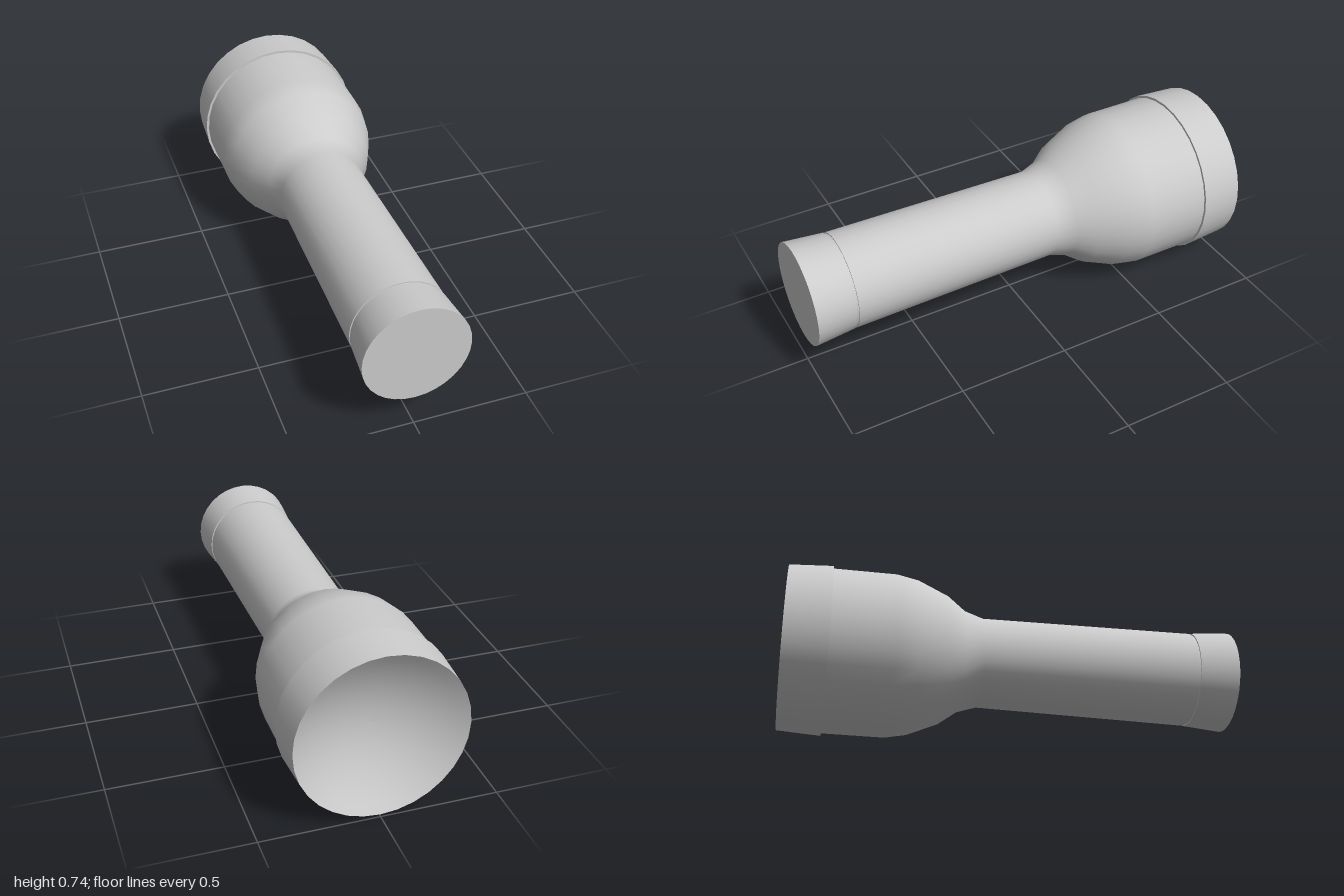
import * as THREE from 'three';

const SEGMENTS = 32;
const AXIS_Y = 0.371;

export function createModel() {
  const torch = new THREE.Group();
  torch.name = 'flashlight';
  const material = new THREE.MeshStandardMaterial({ color: 0xcccccc });

  // Turns a profile of [radius, z] points around the z axis
  const turned = (name, profile) => {
    const points = profile.map(([r, z]) => new THREE.Vector2(r, z));
    const geometry = new THREE.LatheGeometry(points, SEGMENTS).rotateX(Math.PI / 2);
    const mesh = new THREE.Mesh(geometry, material);
    mesh.name = name;
    mesh.position.y = AXIS_Y;
    torch.add(mesh);
  };

  // Bezel around the lens, with the small step down to the head
  turned('bezel', [[0.36, -1], [0.371, -0.81]]);
  turned('bezelStep', [[0.371, -0.81], [0.36, -0.81]]);

  // Shallow bowl inside the bezel
  const bowl = [];
  for (let i = 0; i <= 10; i++) {
    const t = i / 10;
    bowl.push([0.36 * t, -0.88 - 0.12 * t * t]);
  }
  turned('reflector', bowl);

  // Head narrowing into the long handle
  turned('headAndHandle', [
    [0.36, -0.81], [0.36, -0.535], [0.342, -0.44], [0.285, -0.305],
    [0.226, -0.225], [0.199, -0.14], [0.212, 0.815],
  ]);

  // Fine groove between handle and tail cap
  turned('grooveFront', [[0.212, 0.815], [0.207, 0.815]]);
  turned('grooveFloor', [[0.207, 0.815], [0.207, 0.826]]);
  turned('grooveBack', [[0.207, 0.826], [0.213, 0.826]]);

  // Flared tail cap with a flat end
  turned('tailCap', [[0.213, 0.826], [0.228, 1]]);
  turned('tailEnd', [[0.228, 1], [0, 1]]);

  return torch;
}
